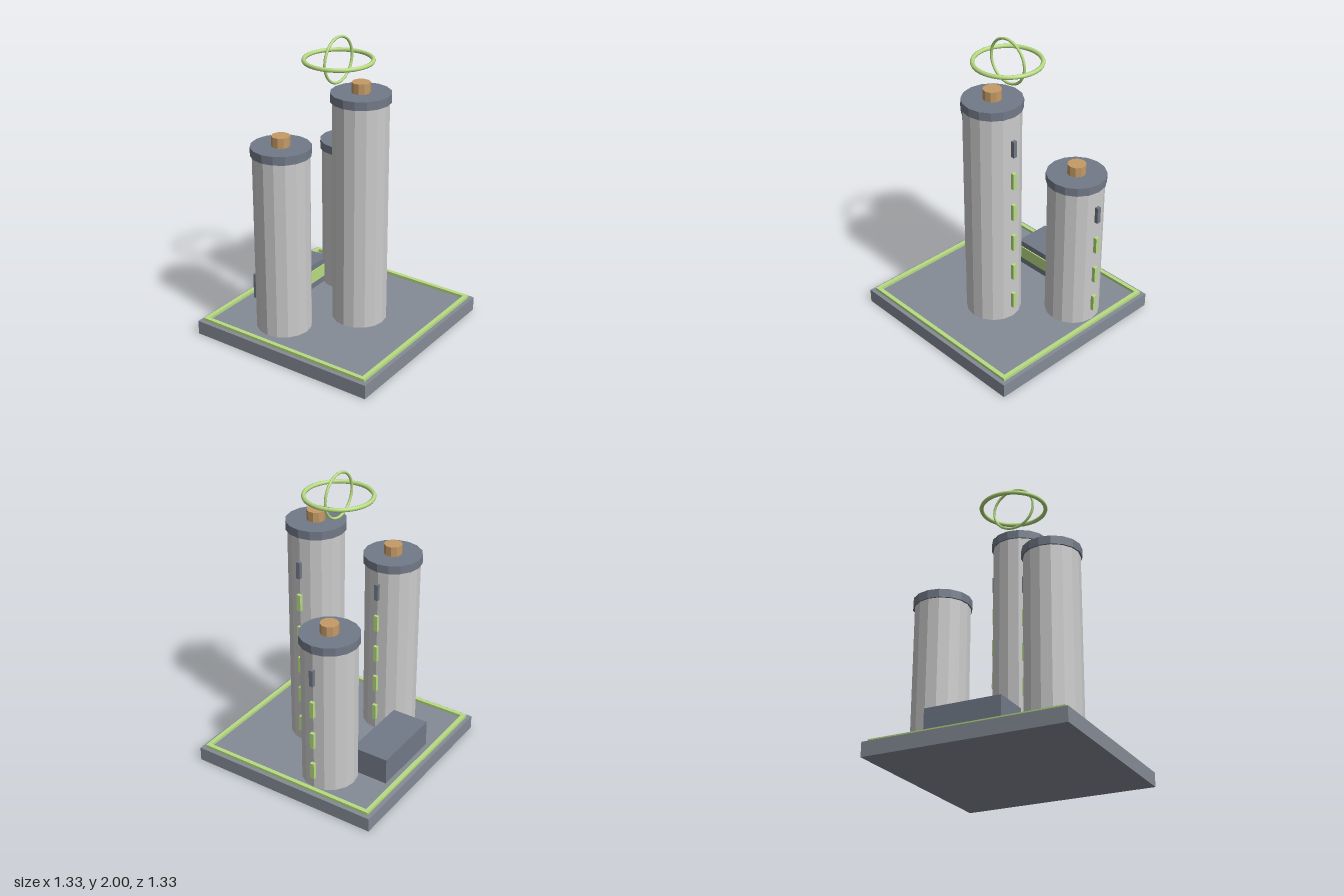
import * as THREE from 'three';

const mat = (color, flat = true) => new THREE.MeshStandardMaterial({ color, flatShading: flat });

export function createModel() {
  const model = new THREE.Group();
  const grey = mat(0xcccccc), dark = mat(0x727a88), slab = mat(0x858b96);
  const green = mat(0xb8dc82), tan = mat(0xc49a66), ringGreen = mat(0xb8dc82, false);

  const add = (parent, name, geometry, material, x, y, z) => {
    const mesh = new THREE.Mesh(geometry, material);
    mesh.name = name;
    mesh.position.set(x, y, z);
    parent.add(mesh);
    return mesh;
  };
  // Box given by its min and max corners
  const box = (parent, name, material, [x0, y0, z0], [x1, y1, z1]) =>
    add(parent, name, new THREE.BoxGeometry(x1 - x0, y1 - y0, z1 - z0), material,
      (x0 + x1) / 2, (y0 + y1) / 2, (z0 + z1) / 2);
  // Upright cylinder between two heights
  const drum = (parent, name, material, r, y0, y1, sides) =>
    add(parent, name, new THREE.CylinderGeometry(r, r, y1 - y0, sides), material, 0, (y0 + y1) / 2, 0);

  // Base slab and the raised square trim on it
  const floor = 0.095;
  box(model, 'base', slab, [-0.665, 0, -0.665], [0.665, floor, 0.665]);
  const square = (path, s) => path.moveTo(-s, -s).lineTo(s, -s).lineTo(s, s).lineTo(-s, s).closePath();
  const frame = square(new THREE.Shape(), 0.638);
  frame.holes.push(square(new THREE.Path(), 0.61));
  add(model, 'baseTrim', new THREE.ExtrudeGeometry(frame, { depth: 0.02, bevelEnabled: false }),
    green, 0, floor, 0).rotation.x = -Math.PI / 2;

  // Towers: body, cap, vent and a column of windows, the topmost one unlit
  const towers = [
    { name: 'frontTower', x: 0.025, z: 0.152, top: 1.605, windows: 6 },
    { name: 'rightTower', x: -0.36, z: -0.18, top: 1.3, windows: 5 },
    { name: 'leftTower', x: 0.408, z: -0.206, top: 1.095, windows: 4 },
  ];
  for (const { name, x, z, top, windows } of towers) {
    const tower = new THREE.Group();
    tower.name = name;
    tower.position.set(x, 0, z);
    drum(tower, 'towerBody', grey, 0.182, floor, top, 16);
    drum(tower, 'towerCap', dark, 0.193, top, top + 0.056, 16);
    drum(tower, 'towerVent', tan, 0.06, top + 0.056, top + 0.122, 10);
    for (let i = 0; i < windows; i++) {
      const y = 0.235 + i * 0.23;
      box(tower, 'window', i === windows - 1 ? dark : green,
        [0.175, y - 0.056, -0.014], [0.203, y + 0.056, 0.014]);
    }
    model.add(tower);
  }

  // Low building at the back with a lit strip on its front
  box(model, 'annex', dark, [-0.205, floor, -0.565], [0.305, 0.276, -0.31]);
  box(model, 'annexStrip', green, [-0.18, 0.145, -0.312], [0.28, 0.235, -0.302]);

  // Two crossed rings hovering above the towers
  add(model, 'flatRing', new THREE.TorusGeometry(0.215, 0.014, 8, 48), ringGreen, 0, 1.846, 0)
    .rotation.x = Math.PI / 2;
  add(model, 'uprightRing', new THREE.TorusGeometry(0.145, 0.009, 8, 48), ringGreen, 0, 1.846, 0);
  return model;
}
